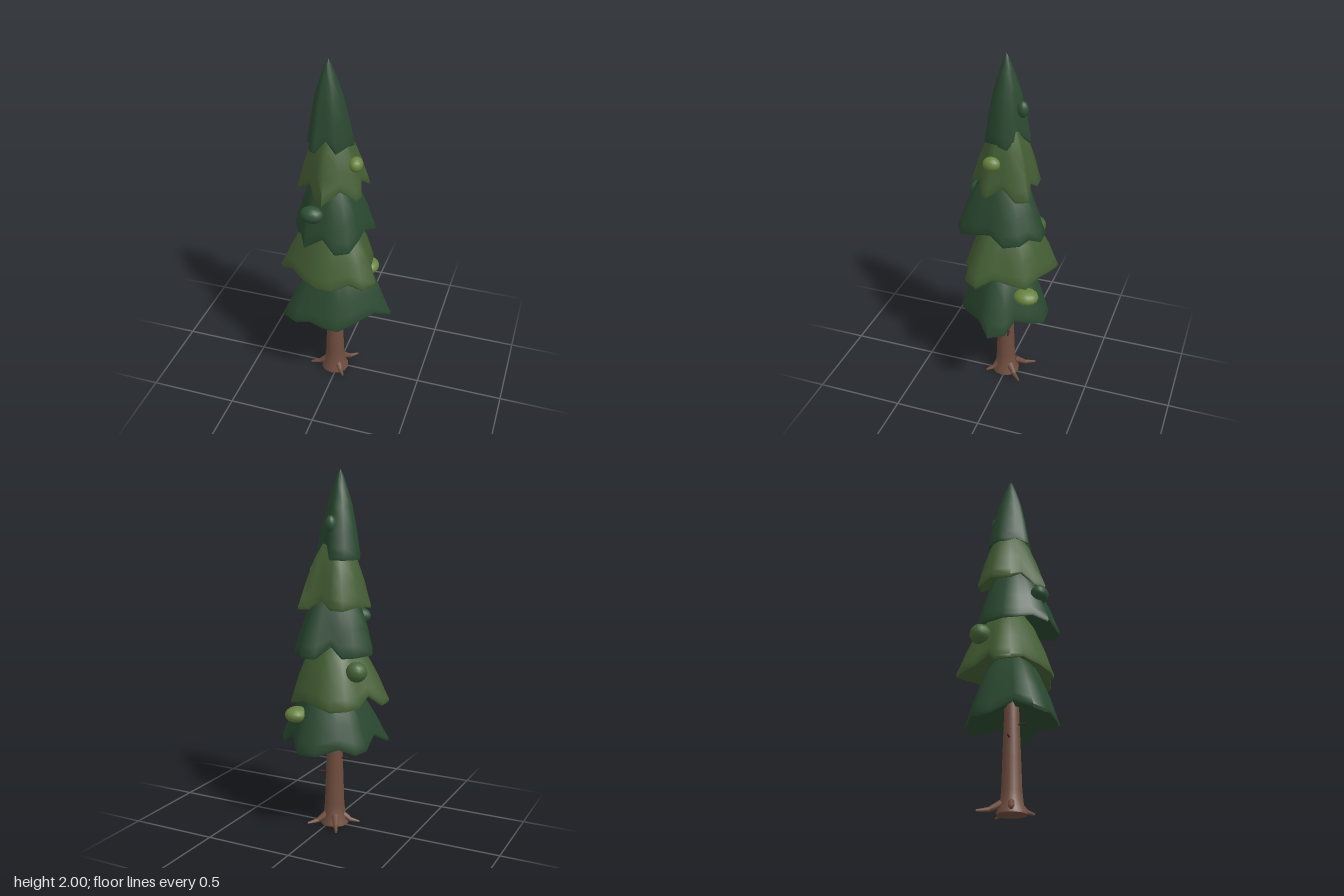
import * as THREE from 'three';
import { toCreasedNormals } from 'three/addons/utils/BufferGeometryUtils.js';

const mat = (name, color) => {
  const m = new THREE.MeshStandardMaterial({ color });
  m.name = name;
  return m;
};

export function createModel() {
  const tree = new THREE.Group();
  tree.name = 'pineTree';
  const darkGreen = mat('dark green', 0x2a4830);
  const midGreen = mat('mid green', 0x445e34);
  const tuftDark = mat('tuft dark green', 0x2e5036);
  const tuftMid = mat('tuft mid green', 0x456337);
  const tuftLight = mat('tuft light green', 0x688240);
  const bark = mat('bark', 0x6f4d3e);
  const twigBrown = mat('twig brown', 0x3c2a22);

  const add = (name, geometry, material) => {
    const mesh = new THREE.Mesh(geometry, material);
    mesh.name = name;
    tree.add(mesh);
    return mesh;
  };

  // Skirt profile from tip to hem, then under the hem: [radius scale, drop]
  const profile = [
    [0.002, 0], [0.13, 0.06], [0.34, 0.2], [0.61, 0.42], [0.82, 0.68], [0.935, 0.87], [1, 0.965],
    [0.985, 1], [0.93, 0.995], [0.65, 0.88], [0.2, 0.8], [0.01, 0.8],
  ];

  // Lobed skirt lofted from a hem outline of x, z pairs
  function tier(name, material, [cx, cz], base, height, outline) {
    const hem = [];
    for (let i = 0; i < outline.length; i += 2) {
      const x = outline[i] - cx, z = outline[i + 1] - cz;
      hem.push({ a: Math.atan2(z, x), r: Math.hypot(x, z) });
    }
    hem.sort((p, q) => p.a - q.a);
    const n = hem.length;
    const mean = hem.reduce((s, p) => s + p.r, 0) / n;
    const pos = [], index = [];
    profile.forEach(([s, t], k) => {
      const lobes = Math.min(1, 0.3 + t * 0.75);
      hem.forEach((p, j) => {
        const around = (hem[(j + 1) % n].r + hem[(j + n - 1) % n].r) / 2;
        const lift = Math.min(0.06, Math.max(0, (around - p.r) * 1.5));
        const r = s * (mean + (p.r - mean) * lobes);
        pos.push(cx + r * Math.cos(p.a), base + height * (1 - t) + lift * t * t, cz + r * Math.sin(p.a));
        if (k < profile.length - 1) {
          const a = k * n + j, b = k * n + (j + 1) % n;
          index.push(a, b, a + n, b, b + n, a + n);
        }
      });
    });
    const g = new THREE.BufferGeometry();
    g.setAttribute('position', new THREE.Float32BufferAttribute(pos, 3));
    g.setIndex(index);
    add(name, toCreasedNormals(g, 1.2), material);
  }

  tier('bottomTier', darkGreen, [0.01, 0], 0.47, 0.5, [
    0.318, 0.005, 0.265, -0.08, 0.185, -0.115, 0.13, -0.19, 0.075, -0.255, -0.03, -0.25, -0.14, -0.18,
    -0.22, -0.13, -0.245, -0.04, -0.235, 0.08, -0.275, 0.195, -0.185, 0.24, -0.1, 0.242, -0.015, 0.255,
    0.07, 0.25, 0.14, 0.195, 0.235, 0.085]);
  tier('lowerTier', midGreen, [-0.03, -0.01], 0.735, 0.48, [
    0.245, 0.095, 0.195, 0.175, 0.12, 0.19, 0.03, 0.235, -0.06, 0.24, -0.15, 0.2, -0.235, 0.135,
    -0.318, 0.09, -0.318, 0, -0.255, -0.05, -0.24, -0.13, -0.2, -0.21, -0.13, -0.27, -0.035, -0.25,
    0.06, -0.215, 0.16, -0.17, 0.18, -0.08, 0.195, 0.01]);
  tier('middleTier', darkGreen, [-0.025, 0.02], 1.005, 0.48, [
    0.2, -0.05, 0.165, 0.04, 0.155, 0.12, 0.13, 0.225, 0.06, 0.265, -0.02, 0.225, -0.12, 0.245,
    -0.16, 0.17, -0.205, 0.11, -0.245, 0.02, -0.2, -0.1, -0.14, -0.15, -0.075, -0.145, -0.015, -0.222,
    0.07, -0.225, 0.11, -0.17, 0.155, -0.13]);
  tier('upperTier', midGreen, [-0.035, 0], 1.26, 0.46, [
    0.145, 0.06, 0.13, 0.1, 0.05, 0.135, -0.03, 0.21, -0.085, 0.165, -0.13, 0.1, -0.215, 0.06,
    -0.2, -0.06, -0.145, -0.15, -0.07, -0.155, -0.01, -0.135, 0.06, -0.155, 0.115, -0.165, 0.145, -0.1, 0.12, -0.02]);
  tier('topTier', darkGreen, [-0.05, 0.015], 1.525, 0.475, [
    0.08, -0.02, 0.06, 0.055, 0.02, 0.115, -0.04, 0.096, -0.09, 0.132, -0.125, 0.115, -0.14, 0.07, -0.167, 0.02,
    -0.17, -0.03, -0.13, -0.095, -0.05, -0.118, -0.01, -0.065, 0.05, -0.06]);

  // Rounded foliage tufts
  for (const [name, material, p, s] of [
    ['upperTuft', tuftLight, [0.108, 1.45, 0.045], [0.038, 0.04, 0.048]],
    ['lowerTuft', tuftLight, [0.13, 0.67, -0.16], [0.065, 0.044, 0.072]],
    ['frontTuft', tuftDark, [-0.09, 1.19, 0.19], [0.065, 0.047, 0.05]],
    ['topTuft', tuftDark, [-0.038, 1.715, -0.077], [0.03, 0.045, 0.031]],
    ['sideTuft', tuftMid, [-0.21, 0.935, -0.11], [0.058, 0.056, 0.058]],
  ]) {
    const tuft = add(name, new THREE.SphereGeometry(1, 14, 10), material);
    tuft.position.set(...p);
    tuft.scale.set(...s);
  }

  // Trunk with a flared foot
  const foot = [[0, 0], [0.082, 0], [0.08, 0.012], [0.064, 0.045], [0.056, 0.12], [0.05, 0.3], [0.043, 0.5], [0.036, 0.7]];
  const trunk = new THREE.LatheGeometry(foot.map(([r, y]) => new THREE.Vector2(r, y)), 12);
  add('trunk', toCreasedNormals(trunk, 0.9), bark).position.set(-0.02, 0, 0.01);

  // Tapered rod between two points
  function rod(name, material, from, to, r0, r1) {
    const a = new THREE.Vector3(...from), b = new THREE.Vector3(...to);
    const d = b.clone().sub(a);
    const mesh = add(name, new THREE.CylinderGeometry(r1, r0, d.length(), 7), material);
    mesh.position.copy(a).add(b).multiplyScalar(0.5);
    mesh.quaternion.setFromUnitVectors(new THREE.Vector3(0, 1, 0), d.normalize());
  }

  // Roots, each bending outward from the foot
  for (const [x, z] of [[-0.162, 0.045], [0.06, 0.108], [0.092, -0.11], [-0.11, -0.152]]) {
    const along = (t, y) => [-0.02 + (x + 0.02) * t, y, 0.01 + (z - 0.01) * t];
    rod('root', bark, along(0.3, 0.055), along(0.65, 0.022), 0.022, 0.013);
    rod('rootTip', bark, along(0.62, 0.023), along(1, 0.014), 0.014, 0.006);
  }

  // Broken twigs
  rod('twig', twigBrown, [-0.05, 0.395, 0.01], [-0.1, 0.402, 0.01], 0.006, 0.004);
  rod('twig', twigBrown, [0.01, 0.31, -0.02], [0.06, 0.312, -0.03], 0.007, 0.005);
  rod('twig', twigBrown, [-0.03, 0.47, 0.04], [-0.03, 0.475, 0.09], 0.006, 0.005);

  return tree;
}
